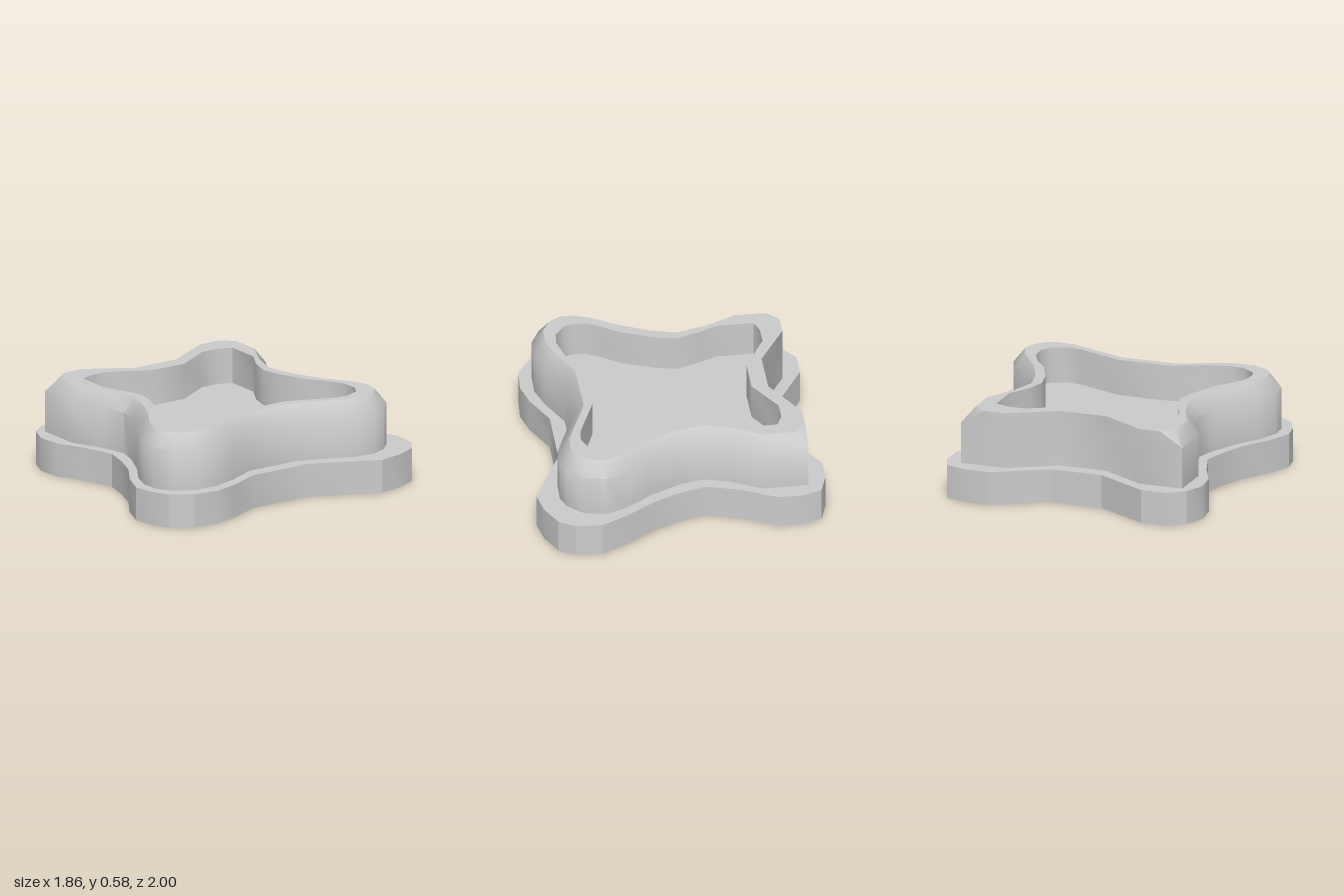
import * as THREE from 'three';
import { toCreasedNormals } from 'three/addons/utils/BufferGeometryUtils.js';

const LEDGE = 0.22, SHOULDER = 0.49, TOP = 0.585, FLOOR = 0.35, BEVEL = 0.072;
const material = new THREE.MeshStandardMaterial({ color: 0xcccccc });

// Outlines are [x, z] points, clockwise from above, starting at the back -x corner
const baseOutline = [
  [-0.77, -0.84], [-0.6, -0.84], [-0.38, -0.725], [-0.16, -0.66], [0, -0.7], [0.18, -0.78],
  [0.38, -0.915], [0.55, -1], [0.725, -0.99], [0.825, -0.925], [0.895, -0.78], [0.925, -0.62],
  [0.725, -0.195], [0.72, 0.24], [0.82, 0.455], [0.86, 0.61], [0.845, 0.79], [0.755, 0.92],
  [0.63, 0.98], [0.505, 1], [0.335, 0.93], [0.165, 0.82], [0, 0.755], [-0.175, 0.71],
  [-0.38, 0.78], [-0.56, 0.865], [-0.715, 0.88], [-0.85, 0.825], [-0.93, 0.72], [-0.93, 0.545],
  [-0.73, 0.2], [-0.73, -0.15], [-0.93, -0.49], [-0.93, -0.65], [-0.885, -0.795],
];

// A second pair gives the rim position directly, where the wall is not bevelled
const bodyOutline = [
  [-0.81, -0.73, -0.735, -0.655], [-0.52, -0.73], [-0.31, -0.62], [-0.155, -0.575], [0, -0.61],
  [0.19, -0.7], [0.37, -0.825], [0.51, -0.88], [0.65, -0.85], [0.745, -0.76], [0.78, -0.665],
  [0.775, -0.53], [0.715, -0.37], [0.63, -0.16], [0.63, 0.2], [0.725, 0.4], [0.775, 0.56],
  [0.77, 0.72], [0.705, 0.845], [0.6, 0.915], [0.48, 0.92], [0.345, 0.87], [0.19, 0.77],
  [0, 0.68], [-0.14, 0.64], [-0.31, 0.685], [-0.52, 0.78], [-0.81, 0.78, -0.735, 0.705],
  [-0.81, 0.78, -0.81, 0.63], [-0.81, 0.49, -0.81, 0.49], [-0.635, 0.195, -0.635, 0.195],
  [-0.635, -0.12, -0.635, -0.12], [-0.81, -0.425, -0.81, -0.425], [-0.81, -0.73, -0.81, -0.58],
];

const cavityOutline = [
  [-0.635, -0.555], [-0.405, -0.555], [-0.26, -0.475], [-0.13, -0.44], [0.01, -0.47], [0.2, -0.555],
  [0.29, -0.63], [0.41, -0.69], [0.515, -0.695], [0.59, -0.655], [0.63, -0.555], [0.62, -0.465],
  [0.5, -0.16], [0.5, 0.195], [0.6, 0.41], [0.635, 0.555], [0.625, 0.65], [0.56, 0.735],
  [0.505, 0.75], [0.41, 0.745], [0.32, 0.69], [0.2, 0.61], [0, 0.53], [-0.13, 0.5],
  [-0.27, 0.545], [-0.405, 0.605], [-0.64, 0.605], [-0.67, 0.52], [-0.67, 0.4], [-0.53, 0.13],
  [-0.53, -0.105], [-0.67, -0.345], [-0.67, -0.465],
];

// Mitred inset of an outline
function insetOutline(points, d) {
  const n = points.length;
  const normal = (a, b) => new THREE.Vector2(a[1] - b[1], b[0] - a[0]).normalize();
  return points.map((p, i) => {
    if (p.length === 4) return [p[2], p[3]];
    const n1 = normal(points[(i + n - 1) % n], p);
    const n2 = normal(p, points[(i + 1) % n]);
    const k = d / (1 + n1.dot(n2));
    return [p[0] + (n1.x + n2.x) * k, p[1] + (n1.y + n2.y) * k];
  });
}

// Wall through [outline, height] rings; going down makes it face inwards
function wall(rings) {
  const pos = [];
  const vertex = ([points, y], i) => {
    const p = points[i % points.length];
    return new THREE.Vector3(p[0], y, p[1]);
  };
  const addTriangle = (a, b, c) => {
    const area = b.clone().sub(a).cross(c.clone().sub(a)).length();
    if (area > 1e-6) pos.push(...a, ...b, ...c);
  };
  for (let r = 0; r < rings.length - 1; r++) {
    for (let i = 0; i < rings[r][0].length; i++) {
      const a = vertex(rings[r], i), b = vertex(rings[r], i + 1);
      const c = vertex(rings[r + 1], i + 1), d = vertex(rings[r + 1], i);
      addTriangle(a, c, b);
      addTriangle(a, d, c);
    }
  }
  const geometry = new THREE.BufferGeometry();
  geometry.setAttribute('position', new THREE.Float32BufferAttribute(pos, 3));
  return toCreasedNormals(geometry, 0.8);
}

const toVectors = (points) => points.map(([x, z]) => new THREE.Vector2(x, -z));

// Flat upward face at a height, with an optional hole
function plate(points, y, hole) {
  const shape = new THREE.Shape(toVectors(points));
  if (hole) shape.holes.push(new THREE.Path(toVectors(hole)));
  return new THREE.ShapeGeometry(shape).rotateX(-Math.PI / 2).translate(0, y, 0);
}

export function createModel() {
  const model = new THREE.Group();
  model.name = 'fourLobedTray';
  const add = (name, geometry, parent = model) => {
    const mesh = new THREE.Mesh(geometry, material);
    mesh.name = name;
    parent.add(mesh);
  };

  // Wide foot slab
  const slab = new THREE.ExtrudeGeometry(new THREE.Shape(toVectors(baseOutline)), {
    depth: LEDGE, bevelEnabled: false,
  }).rotateX(-Math.PI / 2);
  add('baseSlab', toCreasedNormals(slab, 0.5));

  // Bevelled body with a recessed floor
  const body = new THREE.Group();
  body.name = 'body';
  model.add(body);
  const rim = insetOutline(bodyOutline, BEVEL);
  add('outerWall', wall([[bodyOutline, LEDGE], [bodyOutline, SHOULDER], [rim, TOP]]), body);
  add('rim', plate(rim, TOP, cavityOutline), body);
  add('innerWall', wall([[cavityOutline, TOP], [cavityOutline, FLOOR]]), body);
  add('cavityFloor', plate(cavityOutline, FLOOR), body);

  return model;
}
